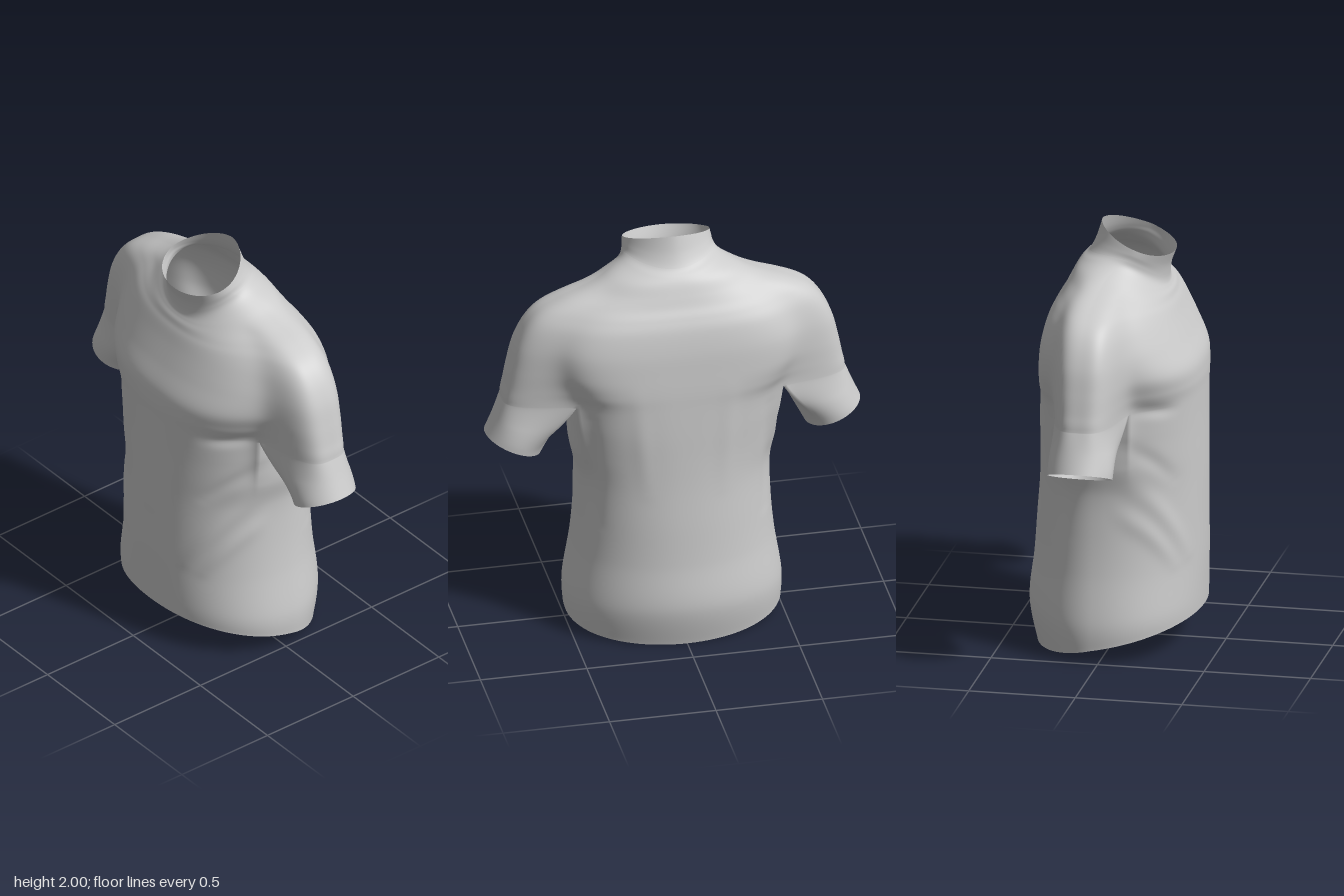
import * as THREE from 'three';
import { mergeGeometries, mergeVertices } from 'three/addons/utils/BufferGeometryUtils.js';

const material = new THREE.MeshStandardMaterial({ color: 0xcccccc, side: THREE.DoubleSide });
const AROUND = 200; // points in a body ring
const ARM = 20;     // points on each side of the armhole, counted from its middle

// Body rings: half width, y at side / front / back, front z, back z, z of middle,
// squareness of front / back
const LOWER = [
  [0.505, 0.07, 0.175, 0.005, 0.402, -0.37, -0.03, 2.15, 2],
  [0.507, 0.19, 0.25, 0.20, 0.405, -0.408, -0.03, 2.15, 2],
  [0.472, 0.42, 0.42, 0.42, 0.41, -0.385, -0.03, 2.1, 2.05],
  [0.455, 0.62, 0.62, 0.62, 0.41, -0.37, -0.03, 2.1, 2.1],
  [0.453, 0.80, 0.80, 0.80, 0.41, -0.355, -0.03, 2.1, 2.15],
  [0.478, 0.94, 0.94, 0.94, 0.408, -0.347, -0.03, 2.1, 2.2],
  [0.48, 1.08, 1.08, 1.08, 0.405, -0.341, -0.03, 2.2, 2.5],
  [0.483, 1.22, 1.22, 1.22, 0.403, -0.334, -0.03, 2.35, 2.9],
];
// Higher rings add the half width and half depth of the bar that forms both upper arms
const UPPER = [
  [0.512, 1.30, 1.30, 1.30, 0.402, -0.33, -0.03, 2.45, 3.4, 0.787, 0.168],
  [0.545, 1.39, 1.38, 1.39, 0.39, -0.322, -0.03, 2.5, 3.8, 0.766, 0.17],
  [0.555, 1.50, 1.48, 1.50, 0.345, -0.31, -0.03, 2.4, 3.8, 0.735, 0.168],
  [0.53, 1.60, 1.57, 1.6, 0.305, -0.288, -0.03, 2.3, 3.4, 0.685, 0.16],
  [0.49, 1.67, 1.63, 1.66, 0.28, -0.262, -0.03, 2.2, 3, 0.62, 0.145],
  [0.43, 1.72, 1.66, 1.705, 0.265, -0.235, -0.03, 2.2, 2.7, 0.52, 0.13],
  [0.365, 1.76, 1.685, 1.75, 0.255, -0.213, -0.02, 2.2, 2.5, 0.395, 0.11],
  [0.305, 1.805, 1.705, 1.80, 0.243, -0.187, 0, 2.2, 2.4, 0.25, 0.1],
  [0.235, 1.845, 1.725, 1.83, 0.235, -0.165, 0.04, 2.1, 2.2, 0.16, 0.08],
  [0.213, 1.87, 1.757, 1.86, 0.234, -0.135, 0.08, 2, 2, 0.1, 0.06],
  [0.208, 1.895, 1.81, 1.92, 0.242, -0.105, 0.1, 2, 1.85, 0.1, 0.06],
  [0.203, 1.92, 1.87, 2.0, 0.264, -0.08, 0.11, 2, 1.75, 0.1, 0.06],
];
const RINGS = [...LOWER.map((row) => [...row, 0.803, 0.165]), ...UPPER];
const ARMPIT = 7, NECK = 17, TOP = 19; // ring numbers where the parts meet

// Sleeve rings: outer x, y, inner x, y, front z, back z
const SLEEVE = [
  [0.803, 1.22, 0.49, 1.22, 0.14, -0.2],
  [0.838, 1.135, 0.555, 1.07, 0.127, -0.19],
  [0.88, 1.04, 0.62, 0.935, 0.12, -0.18],
];
// Cloth folds on the half front and back: x1, y1, x2, y2, width, height
const FRONT_FOLDS = [
  [0.46, 0.92, 0.22, 0.48, 0.035, 0.01],
  [0.46, 0.76, 0.30, 0.45, 0.03, 0.009],
  [0.47, 1.06, 0.30, 0.86, 0.03, -0.008],
  [0.47, 1.23, 0.32, 1.20, 0.03, -0.01],
];
const BACK_FOLDS = [
  [0.42, 1.15, 0.40, 0.60, 0.03, -0.009],
  [0.22, 1.30, 0.18, 0.80, 0.04, 0.005],
];

// Smooth Catmull-Rom reading of a table of rings at a fractional ring number
function sample(table, at) {
  const last = table.length - 1;
  const i = Math.min(Math.floor(at), last - 1);
  const f = at - i;
  const a = table[Math.max(i - 1, 0)], b = table[i], c = table[i + 1], d = table[Math.min(i + 2, last)];
  return b.map((p, k) => p + 0.5 * f * (c[k] - a[k]
    + f * (2 * a[k] - 5 * p + 4 * c[k] - d[k] + f * (3 * (p - c[k]) + d[k] - a[k]))));
}

// Surface through closed rings given from bottom to top
function skin(rings) {
  const n = rings[0].length, index = [];
  for (let j = 0; j < rings.length - 1; j++)
    for (let i = 0; i < n; i++) {
      const a = j * n + i, b = j * n + (i + 1) % n;
      index.push(a, a + n, b, b, a + n, b + n);
    }
  const geo = new THREE.BufferGeometry().setFromPoints(rings.flat());
  geo.setIndex(index);
  return geo;
}
const rows = (count, make) => Array.from({ length: count + 1 }, (_, j) => make(j / count));

function foldHeight(x, y, z) {
  let sum = 0;
  for (const [x1, y1, x2, y2, w, h] of z > 0 ? FRONT_FOLDS : BACK_FOLDS) {
    const dx = x2 - x1, dy = y2 - y1, px = Math.abs(x) - x1, py = y - y1;
    const t = THREE.MathUtils.clamp((px * dx + py * dy) / (dx * dx + dy * dy), 0, 1);
    const d = Math.hypot(px - t * dx, py - t * dy);
    sum += h * Math.exp(-((d / w) ** 2)) * (0.3 + 0.7 * Math.sin(Math.PI * t));
  }
  return sum * THREE.MathUtils.smoothstep(Math.abs(z), 0.02, 0.15);
}

// Ring directions lie closer together towards the arms
function direction(i) {
  const u = (i / AROUND) * Math.PI * 2;
  const a = Math.atan2(0.5 * Math.sin(u), Math.cos(u));
  return [Math.cos(a), Math.sin(a)];
}
const ovalRadius = (c, s, a, b, n) => ((Math.abs(c) / a) ** n + (Math.abs(s) / b) ** n) ** (-1 / n);

function torsoRadius(row, i) {
  const [c, s] = direction(i);
  const [hw, , , , zf, zb, zc, nf, nb] = row;
  return s > 0 ? ovalRadius(c, s, hw, zf - zc, nf) : ovalRadius(c, s, hw, zc - zb, nb);
}

// Torso oval softly joined with the bar of the upper arms
function shoulderRadius(row, i) {
  const [c, s] = direction(i);
  return (torsoRadius(row, i) ** 8 + ovalRadius(c, s, row[9], row[10], 3.5) ** 8) ** (1 / 8);
}

// How far the lower body reaches past its oval at the armpit, closing the armholes
const armpitBulge = Array.from({ length: AROUND }, (_, i) => {
  const half = AROUND / 2;
  const fromArm = Math.min(i % half, half - (i % half));
  const at = (i <= half ? 1 : -1) * Math.max(fromArm, ARM);
  const reach = shoulderRadius(RINGS[ARMPIT], at) - torsoRadius(RINGS[ARMPIT], at);
  return reach * Math.min(1, fromArm / ARM) ** 2;
});
const lowerRadius = (row, i) =>
  torsoRadius(row, i) + armpitBulge[i] * THREE.MathUtils.smoothstep(row[1], 0.85, 1.22);

// Ring of points, tilted so that front, side and back reach their own heights
function bodyRing(row, radius) {
  const [, ys, yf, yb, zf, zb, zc] = row;
  return Array.from({ length: AROUND }, (_, i) => {
    const [c, s] = direction(i);
    const r = radius(row, i);
    const k = THREE.MathUtils.clamp(r * s / (s > 0 ? zf - zc : zc - zb), -1, 1);
    const y = ys + (yf - yb) / 2 * k + ((yf + yb) / 2 - ys) * k * k;
    const f = r + foldHeight(r * c, y, zc + r * s);
    return new THREE.Vector3(f * c, y, zc + f * s);
  });
}
const bodyRings = (from, to, count, radius) =>
  rows(count, (t) => bodyRing(sample(RINGS, from + (to - from) * t), radius));

// One ring of the plain sleeve, its first half running round the outside of the arm
function sleeveRing(side, t) {
  const [ox, oy, ix, iy, zf, zb] = sample(SLEEVE, t * (SLEEVE.length - 1));
  const wide = THREE.MathUtils.degToRad(125);
  return Array.from({ length: 4 * ARM }, (_, k) => {
    const a = k <= 2 * ARM ? (k / ARM - 1) * wide
      : wide + (k / (2 * ARM) - 1) * (2 * Math.PI - 2 * wide);
    const q = (1 + Math.cos(a)) / 2;
    return new THREE.Vector3(side * (ix + (ox - ix) * q), iy + (oy - iy) * q,
      (zf + zb) / 2 + side * (zf - zb) / 2 * Math.sin(a));
  });
}

// Sleeve grown from the armhole, made of the arm outline and the armpit line
function sleeve(side, outline, armpit) {
  const middle = side > 0 ? AROUND : AROUND / 2;
  const hole = [];
  for (let k = -ARM; k <= ARM; k++) hole.push(outline[(middle + k) % AROUND]);
  for (let k = ARM - 1; k > -ARM; k--) hole.push(armpit[(middle + k) % AROUND]);
  const start = sleeveRing(side, 0);
  return skin(rows(28, (v) => {
    const fade = THREE.MathUtils.smoothstep(v, 0.1, 1);
    return sleeveRing(side, 1 - v).map((p, k) =>
      p.addScaledVector(hole[k].clone().sub(start[k]), fade));
  }));
}

export function createModel() {
  const shirt = new THREE.Group();
  shirt.name = 'shirt';
  const add = (name, geo) => {
    geo.computeVertexNormals();
    const mesh = new THREE.Mesh(geo, material);
    mesh.name = name;
    shirt.add(mesh);
  };

  // Body and sleeves are welded so the cloth runs on without a seam
  const lower = bodyRings(0, ARMPIT, 90, lowerRadius);
  const upper = bodyRings(ARMPIT, NECK, 70, shoulderRadius);
  const sleeves = [1, -1].map((side) => sleeve(side, upper[0], lower[lower.length - 1]));
  add('bodyWithSleeves', mergeVertices(mergeGeometries([skin(lower), skin(upper), ...sleeves]), 1e-5));
  add('collar', skin(bodyRings(NECK, TOP, 14, shoulderRadius)));
  return shirt;
}
